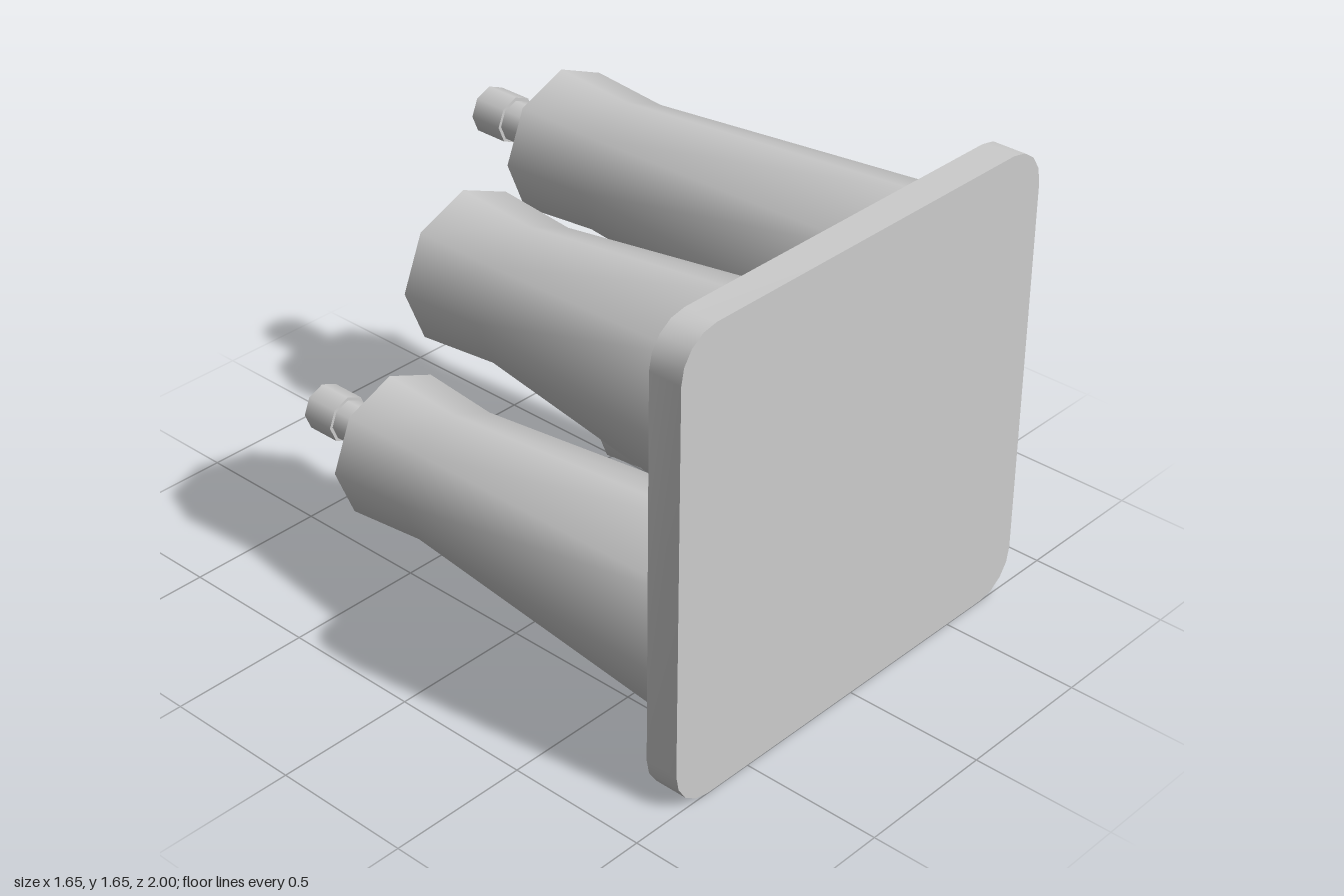
import * as THREE from 'three';
import { toCreasedNormals } from 'three/addons/utils/BufferGeometryUtils.js';

const SIDES = 8;
const BACK = 0.88; // rear face of the plate
const HALF = 0.827; // half the plate's width and height
const SPACING = 0.414;

export function createModel() {
  const model = new THREE.Group();
  const grey = new THREE.MeshStandardMaterial({ color: 0xcccccc });
  grey.name = 'light grey';

  const add = (parent, geometry, name) => {
    const mesh = new THREE.Mesh(geometry, grey);
    mesh.name = name;
    parent.add(mesh);
    return mesh;
  };

  // Square plate with two-segment rounded corners
  const r = 0.145, c = HALF - r;
  const outline = new THREE.Shape();
  outline.absarc(c, c, r, 0, Math.PI / 2);
  outline.absarc(-c, c, r, Math.PI / 2, Math.PI);
  outline.absarc(-c, -c, r, Math.PI, Math.PI * 1.5);
  outline.absarc(c, -c, r, Math.PI * 1.5, Math.PI * 2);
  const plateGeometry = new THREE.ExtrudeGeometry(outline, {
    depth: 1 - BACK, bevelEnabled: false, curveSegments: 2,
  });
  const plate = add(model, toCreasedNormals(plateGeometry, 0.6), 'plate');
  plate.position.set(0, HALF, BACK);

  // Each post runs along its own +y, later turned towards -z
  function makePost(waistZ, endZ, name) {
    const post = new THREE.Group();
    post.name = name;
    const end = BACK - endZ;
    const profile = [[0.346, 0], [0.238, BACK - waistZ], [0.261, end]];
    add(post, new THREE.LatheGeometry(profile.map(([x, y]) => new THREE.Vector2(x, y)), SIDES), 'postBody');
    const cap = add(post, new THREE.CircleGeometry(0.261, SIDES), 'postEnd');
    cap.rotation.x = -Math.PI / 2;
    cap.position.y = end;
    post.rotation.x = -Math.PI / 2;
    return post;
  }

  // Collar, pin and tip stacked on the end of a long post
  function addPin(post) {
    const pieces = [
      ['collar', 0.184, -0.655, -0.69],
      ['pin', 0.073, -0.69, -0.873],
      ['pinTip', 0.085, -0.873, -1],
    ];
    for (const [name, radius, from, to] of pieces) {
      const mesh = add(post, new THREE.CylinderGeometry(radius, radius, from - to, SIDES), name);
      mesh.position.y = BACK - (from + to) / 2;
    }
  }

  // Long pinned posts on one diagonal, short plain ones on the other
  for (const sx of [-1, 1]) {
    for (const sy of [-1, 1]) {
      const long = sx === sy;
      const post = long ? makePost(-0.36, -0.655, 'longPost') : makePost(0.01, -0.276, 'shortPost');
      if (long) addPin(post);
      post.position.set(sx * SPACING, HALF + sy * SPACING, BACK);
      model.add(post);
    }
  }
  return model;
}
